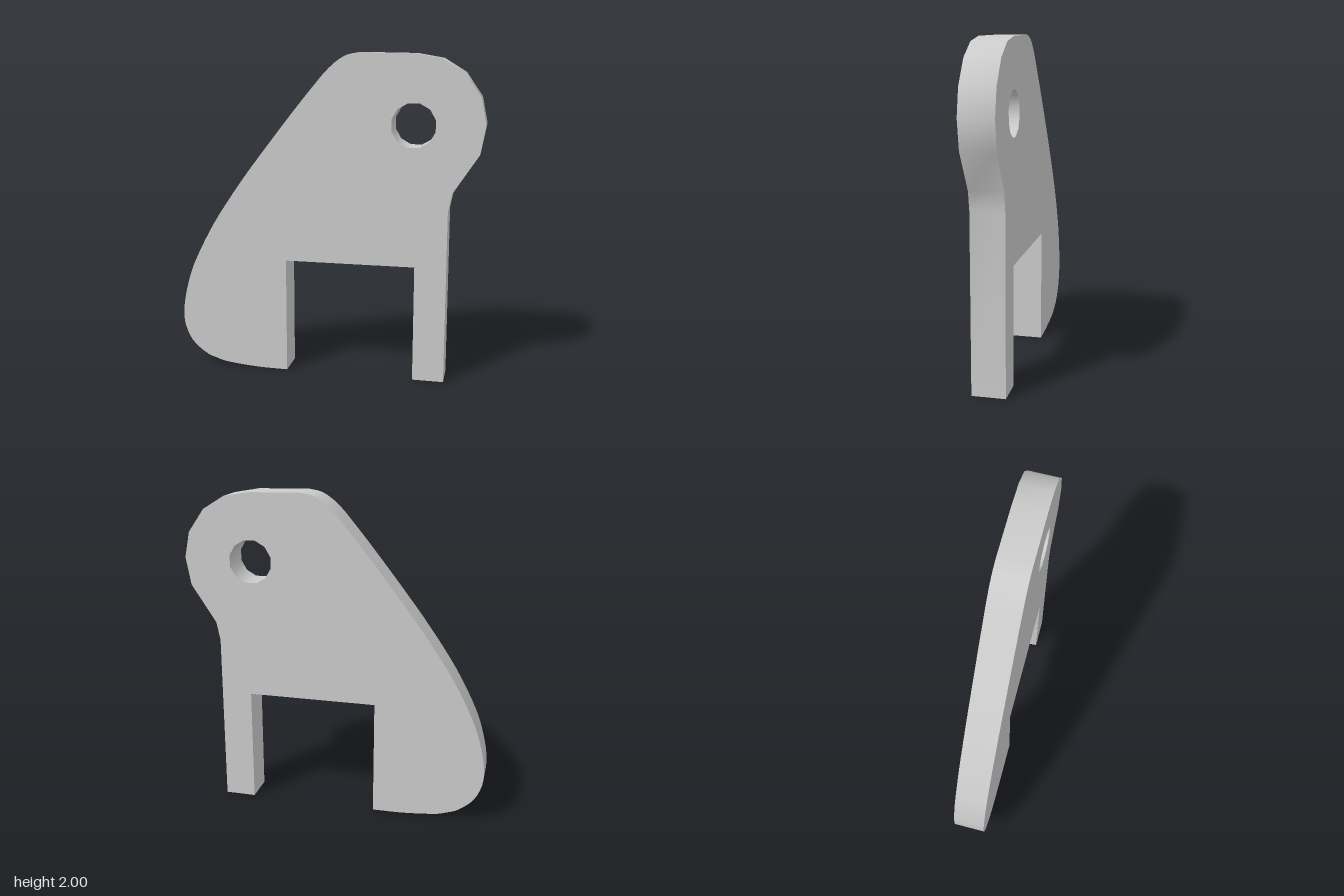
import * as THREE from 'three';
import { toCreasedNormals } from 'three/addons/utils/BufferGeometryUtils.js';

const THICKNESS = 0.2;

export function createModel() {
  const group = new THREE.Group();
  group.name = 'bracket';

  const outline = new THREE.Shape();
  // narrow leg, neck and faceted rounded head
  outline.moveTo(0.545, 0);
  [
    [0.737, 0], [0.737, 1.065], [0.76, 1.18], [0.913, 1.413], [0.944, 1.585],
    [0.912, 1.742], [0.812, 1.885], [0.68, 1.966], [0.52, 1.994], [0.2, 2],
  ].forEach(([x, y]) => outline.lineTo(x, y));
  // long sweeping back edge down to the rounded heel
  outline.splineThru([
    [0.125, 1.985], [0.06, 1.947], [0, 1.893], [-0.06, 1.825], [-0.2, 1.655],
    [-0.4, 1.4], [-0.55, 1.2], [-0.7, 0.98], [-0.8, 0.805], [-0.88, 0.635],
    [-0.927, 0.475], [-0.946, 0.35], [-0.938, 0.25], [-0.89, 0.147],
    [-0.8, 0.07], [-0.73, 0.042], [-0.65, 0.021], [-0.45, 0.003], [-0.258, 0],
  ].map(([x, y]) => new THREE.Vector2(x, y)));
  // rectangular slot between the legs
  outline.lineTo(-0.258, 0.72);
  outline.lineTo(0.545, 0.72);
  outline.closePath();

  // twelve-sided pivot hole
  const hole = [];
  for (let i = 0; i < 12; i++) {
    const a = -((i + 0.5) / 12) * Math.PI * 2;
    hole.push(new THREE.Vector2(0.523 + 0.135 * Math.cos(a), 1.576 + 0.135 * Math.sin(a)));
  }
  outline.holes.push(new THREE.Path(hole));

  const geometry = new THREE.ExtrudeGeometry(outline, {
    depth: THICKNESS, bevelEnabled: false, curveSegments: 3,
  });
  geometry.translate(0, 0, -THICKNESS / 2);

  const plate = new THREE.Mesh(
    toCreasedNormals(geometry, 0.9),
    new THREE.MeshStandardMaterial({ color: 0xcccccc }),
  );
  plate.name = 'bracketPlate';
  group.add(plate);
  return group;
}
